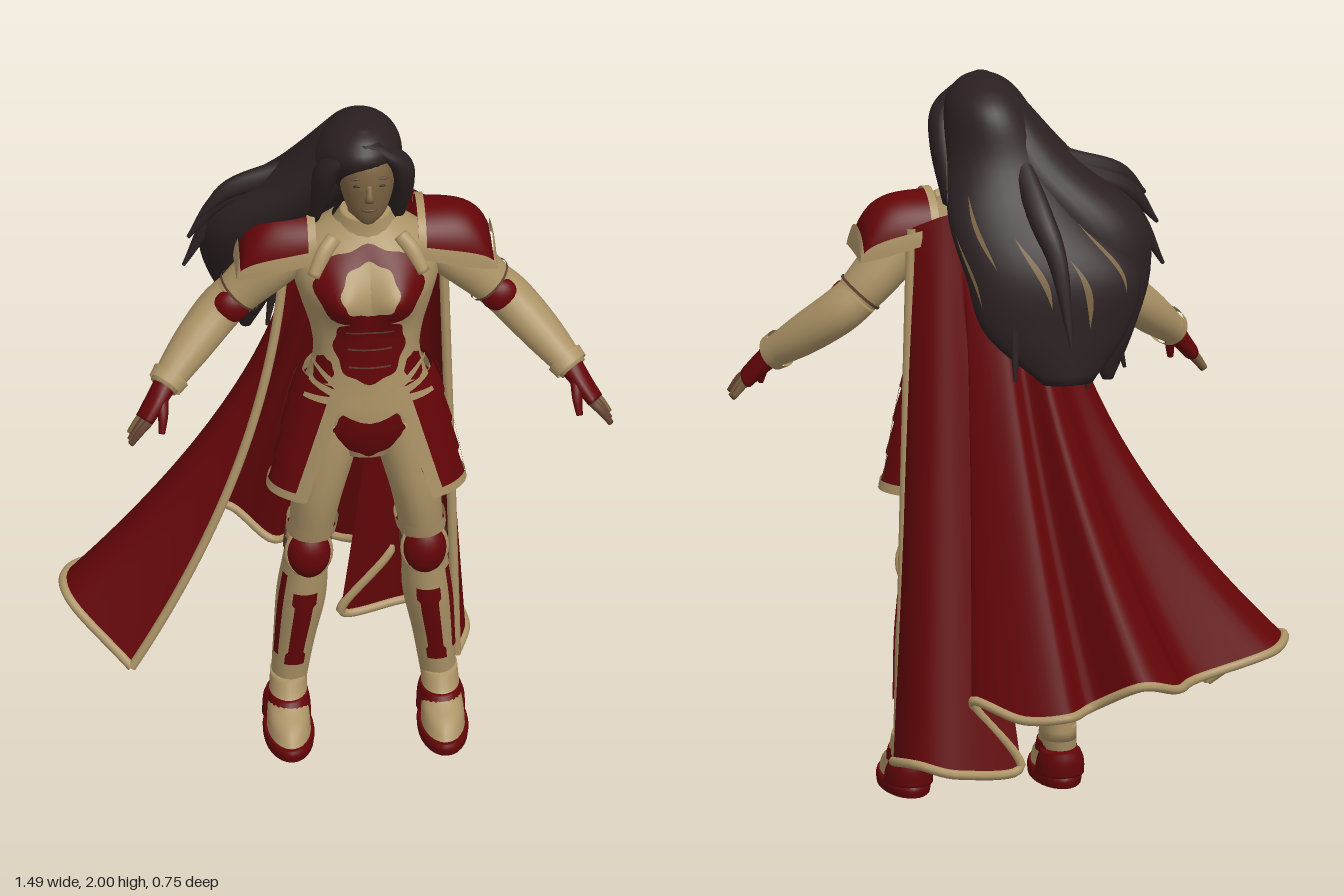
import * as THREE from 'three';
import { mergeVertices } from 'three/addons/utils/BufferGeometryUtils.js';

const V = (x, y, z) => new THREE.Vector3(x, y, z);
const mat = (name, color) => {
  const m = new THREE.MeshStandardMaterial({ color, side: THREE.DoubleSide });
  m.name = name;
  return m;
};
const lerp = THREE.MathUtils.lerp, clamp = THREE.MathUtils.clamp, rad = THREE.MathUtils.degToRad;
const CX = 0.068; // middle line of the body

export function createModel() {
  const root = new THREE.Group();
  root.name = 'capedWarrior';
  const red = mat('deepRed', 0x640508), cream = mat('cream', 0xad9467), skin = mat('skin', 0x7b6342);
  const dark = mat('darkHair', 0x2b2021), brown = mat('brownCloth', 0x61412f);

  const add = (geo, m, name) => {
    const mesh = new THREE.Mesh(geo, m);
    mesh.name = name;
    root.add(mesh);
    return mesh;
  };
  // smooth surface from a rule (u, v) -> point
  const surf = (fn, nu, nv, m, name) => {
    const pos = [], idx = [];
    for (let j = 0; j <= nv; j++) for (let i = 0; i <= nu; i++) pos.push(...fn(i / nu, j / nv).toArray());
    for (let j = 0; j < nv; j++) for (let i = 0; i < nu; i++) {
      const a = j * (nu + 1) + i, b = a + nu + 1;
      idx.push(a, b, a + 1, b, b + 1, a + 1);
    }
    let g = new THREE.BufferGeometry();
    g.setAttribute('position', new THREE.Float32BufferAttribute(pos, 3));
    g.setIndex(idx);
    g = mergeVertices(g, 1e-4);
    g.computeVertexNormals();
    return add(g, m, name);
  };
  // rings [x, y, z, r1, r2] along a path; flat keeps every ring horizontal
  const limbFn = (pts, flat) => {
    const c = new THREE.CatmullRomCurve3(pts.map(p => V(p[0], p[1], p[2])), false, 'catmullrom');
    const r = new THREE.CatmullRomCurve3(pts.map(p => V(p[3], p[4] ?? p[3], 0)), false, 'catmullrom');
    return (u, v, off = 0) => {
      const q = r.getPoint(v), a = u * Math.PI * 2;
      let side = V(1, 0, 0), fwd = V(0, 0, 1);
      if (!flat) {
        const t = c.getTangent(v);
        side = t.clone().cross(fwd).normalize();
        fwd = side.clone().cross(t);
      }
      return c.getPoint(v).addScaledVector(side, Math.cos(a) * Math.max(0, q.x + off))
        .addScaledVector(fwd, Math.sin(a) * Math.max(0, q.y + off));
    };
  };
  const limb = (pts, m, name, flat = false, nu = 20) => {
    const fn = limbFn(pts, flat), n = pts.length * 5;
    surf((u, v) => fn(u, clamp((v * n - 1) / (n - 2), 0, 1), v === 0 || v === 1 ? -10 : 0), nu, n, m, name);
    return fn;
  };
  const ball = (x, y, z, sx, sy, sz, m, name) => {
    const b = add(new THREE.SphereGeometry(1, 20, 14), m, name);
    b.position.set(x, y, z);
    b.scale.set(sx, sy, sz);
  };

  // torso with a shaped breastplate
  const rings = [[0.18, 0.1, 0.1], [0.185, 0.165, 0.125], [0.19, 0.185, 0.13], [0.2, 0.16, 0.118], [0.205, 0.145, 0.112],
    [0.2, 0.155, 0.12], [0.185, 0.18, 0.14], [0.175, 0.2, 0.14], [0.16, 0.19, 0.12], [0.155, 0.09, 0.075]];
  const torsoFn = limbFn(rings.map(([z, rx, rz], i) => [CX, 0.96 + i * 0.08, z, rx, rz]), true);
  const torso = (a, y, off = 0) => {
    const p = torsoFn(a / (Math.PI * 2), clamp((y - 0.96) / 0.72, 0, 1), off), s = Math.max(0, Math.sin(a));
    p.z += s * 0.06 * Math.exp(-(((y - 1.51) / 0.075) ** 2)) * Math.exp(-(((Math.abs(p.x - CX) - 0.085) / 0.07) ** 2));
    return p;
  };
  surf((u, v) => torso(u * Math.PI * 2, 0.96 + v * 0.72), 48, 40, cream, 'torso');
  const blob = (a0, y0, ra, ry, off, m, name) => surf((u, v) => {
    const t = u * Math.PI * 2, k = v * (1 + 0.05 * Math.cos(8 * t));
    return torso(rad(a0 + ra * k * Math.cos(t)), y0 + ry * k * Math.sin(t), off);
  }, 48, 12, m, name);
  blob(90, 1.53, 46, 0.11, 0.005, red, 'chestPlate');
  blob(90, 1.535, 22, 0.068, 0.009, cream, 'chestMedallion');
  blob(90, 1.34, 38, 0.11, 0.005, red, 'abdomenPlate');
  blob(90, 1.06, 32, 0.085, 0.006, red, 'pelvisPlate');
  for (const a of [35, 145]) blob(a, 1.25, 16, 0.045, 0.006, red, 'waistPlate');
  for (const y of [1.28, 1.34, 1.4]) surf((u, v) => torso(rad(68 + 44 * u), y + v * 0.006, 0.009), 14, 1, brown, 'abdomenSeam');
  surf((u, v) => {
    const a = u * Math.PI * 2, dip = 0.045 * Math.max(0, Math.sin(a)) ** 12;
    return torso(a, 1.15 + v * 0.06 - dip, 0.014);
  }, 48, 3, cream, 'belt');
  // fan of straps from the buckle up over the hips
  for (const s of [-1, 1]) for (const rise of [0.005, 0.06, 0.12])
    surf((u, v) => torso(rad(90 - s * lerp(8, 62, u)), 1.16 + rise * u + v * lerp(0.035, 0.014, u), 0.016 + 0.014 * u), 14, 2, cream, 'hipStrap');

  // collar, neck, head
  limb([[CX, 1.61, 0.155, 0.12, 0.1], [CX, 1.66, 0.16, 0.09, 0.085], [CX, 1.71, 0.175, 0.068, 0.068]], cream, 'collar', true);
  limb([[CX, 1.66, 0.165, 0.052], [CX, 1.72, 0.18, 0.05], [CX, 1.8, 0.19, 0.052]], skin, 'neck', true);
  limb([[CX, 1.722, 0.242, 0.026, 0.038], [CX, 1.75, 0.228, 0.053, 0.065], [CX, 1.8, 0.212, 0.071, 0.092],
    [CX, 1.86, 0.2, 0.08, 0.11], [CX, 1.92, 0.195, 0.074, 0.103], [CX, 1.97, 0.2, 0.045, 0.06]], skin, 'head', true, 28);
  limb([[CX, 1.865, 0.304, 0.008, 0.006], [CX, 1.83, 0.314, 0.011, 0.012], [CX, 1.812, 0.306, 0.014, 0.01]], skin, 'nose', true);
  ball(CX, 1.778, 0.294, 0.022, 0.005, 0.008, brown, 'mouth');
  for (const s of [-1, 1]) {
    ball(CX + s * 0.032, 1.86, 0.299, 0.012, 0.003, 0.005, dark, 'eye');
    ball(CX + s * 0.034, 1.883, 0.297, 0.02, 0.004, 0.005, brown, 'eyebrow');
  }

  // hair: main fall with lighter streaks, windswept side mass, face locks and loose strands
  const fall = limb([[0.055, 2.0, 0.19, 0.025, 0.04], [0.055, 1.975, 0.175, 0.075, 0.1], [0.05, 1.92, 0.16, 0.114, 0.144], [0.025, 1.8, 0.095, 0.15, 0.118],
    [-0.01, 1.65, 0.0, 0.2, 0.1], [-0.085, 1.5, -0.07, 0.24, 0.095], [-0.09, 1.35, -0.105, 0.2, 0.07], [-0.11, 1.21, -0.145, 0.07, 0.03]],
  dark, 'hairFall', true, 32);
  for (const [u0, v0] of [[0.63, 0.58], [0.71, 0.66], [0.79, 0.6], [0.88, 0.5], [0.95, 0.6], [0.99, 0.36]])
    surf((u, v) => fall(u0 + (u - 0.5) * 0.014 * Math.sin(Math.PI * v) - v * 0.02, v0 + v * 0.18, 0.004), 2, 12, skin, 'hairStreak');
  limb([[0.02, 1.95, 0.15, 0.06, 0.09], [-0.06, 1.79, 0.1, 0.12, 0.12], [-0.2, 1.63, 0.04, 0.155, 0.125],
    [-0.25, 1.48, 0.0, 0.12, 0.1], [-0.24, 1.32, -0.04, 0.075, 0.065], [-0.24, 1.19, -0.06, 0.015, 0.015]], dark, 'hairSweep', true, 28);
  for (const [x1, x2, x3] of [[0.15, 0.165, 0.15], [-0.025, -0.055, -0.08]])
    limb([[CX, 1.975, 0.25, 0.03], [x1, 1.9, 0.235, 0.035, 0.045], [x2, 1.8, 0.19, 0.035, 0.055], [x3, 1.66, 0.12, 0.03, 0.05]], dark, 'faceLock', true);
  const tips = [[-0.42, 1.47, 0.06], [-0.41, 1.58, 0.09], [-0.38, 1.66, 0.11],
    [-0.3, 1.2, 0.0], [-0.18, 1.17, -0.08], [-0.1, 1.34, -0.25], [0.04, 1.23, -0.17]];
  for (const [x, y, z] of tips)
    limb([[0.0, 1.86, 0.08, 0.02], [0.4 * x, lerp(1.82, y, 0.28), lerp(0.05, z, 0.5), 0.035, 0.03],
      [0.78 * x, lerp(1.82, y, 0.55), lerp(0.03, z, 0.75), 0.026, 0.024], [x, y, z, 0.005]], dark, 'hairStrand', false, 10);

  // cape hung between a shoulder line and a folded hem
  const top = new THREE.CatmullRomCurve3([V(-0.14, 1.63, 0.05), V(-0.05, 1.66, 0.02), V(CX, 1.67, 0.01), V(0.19, 1.66, 0.01), V(0.285, 1.62, 0.04)]);
  const hem = new THREE.CatmullRomCurve3([[-0.57, 0.24, 0.175], [-0.735, 0.4, 0.05], [-0.69, 0.4, -0.11], [-0.46, 0.36, -0.19],
    [-0.38, 0.37, -0.31], [-0.27, 0.4, -0.365], [-0.15, 0.33, -0.29], [-0.07, 0.32, -0.35], [0.05, 0.31, -0.31], [0.17, 0.34, -0.21],
    [0.03, 0.145, -0.2], [0.21, 0.145, -0.245], [0.32, 0.17, -0.21], [0.362, 0.15, -0.1], [0.33, 0.12, -0.005]].map(p => V(...p)), false, 'catmullrom');
  const cape = (u, t) => {
    const a = top.getPoint(u), b = hem.getPoint(u);
    return V(lerp(a.x, b.x, t ** lerp(2, 0.9, u)), lerp(a.y, b.y, t), lerp(a.z, b.z, t ** 0.95));
  };
  surf(cape, 112, 36, red, 'cape');
  const edge = (fn, n, name) => {
    const c = new THREE.CatmullRomCurve3(Array.from({ length: n + 1 }, (_, i) => fn(i / n)));
    add(new THREE.TubeGeometry(c, n * 2, 0.013, 8), cream, name);
  };
  edge(t => cape(0, t), 24, 'capeEdge');
  edge(t => cape(1, t), 24, 'capeEdge');
  edge(u => cape(u, 1), 70, 'capeHem');

  for (const s of [-1, 1]) {
    const X = o => CX + s * o;
    const outer = s > 0 ? 0 : 0.5; // ring parameter of the outward side

    // leg: thigh, boot, knee guard and stripes
    const thigh = limb([[X(0.09), 1.08, 0.19, 0.085, 0.11], [X(0.11), 0.95, 0.195, 0.082, 0.105], [X(0.135), 0.8, 0.195, 0.068, 0.092],
      [X(0.155), 0.64, 0.175, 0.058, 0.07]], cream, 'thigh', true);
    surf((u, v) => thigh(outer + (u - 0.5) * (0.42 - 0.2 * v), 0.14 + v * 0.26, 0.004), 18, 6, brown, 'thighCloth');
    const shin = limb([[X(0.155), 0.67, 0.175, 0.058, 0.07], [X(0.162), 0.56, 0.15, 0.062, 0.08], [X(0.172), 0.43, 0.125, 0.068, 0.092],
      [X(0.19), 0.28, 0.11, 0.057, 0.075], [X(0.205), 0.13, 0.1, 0.048, 0.058]], cream, 'boot', true);
    surf((u, v) => shin(0.25 + (u - 0.5) * (v < 0.2 || v > 0.85 ? 0.15 : 0.11), 0.4 + v * 0.44, 0.005), 8, 24, red, 'shinStripe');
    surf((u, v) => shin((s > 0 ? 0.09 : 0.41) + (u - 0.5) * 0.05, 0.3 + v * 0.5, 0.005), 6, 16, red, 'sideStripe');
    surf((u, v) => shin(u, 0.04 + v * 0.1, 0.006), 24, 3, brown, 'kneeStrap');
    ball(X(0.158), 0.62, 0.215, 0.06, 0.078, 0.055, red, 'kneeGuard');
    surf((u, v) => thigh(u, 0.84 + v * 0.08, 0.008), 24, 2, cream, 'kneeBand');
    const rim = add(new THREE.TorusGeometry(0.06, 0.007, 8, 24), cream, 'kneeRim');
    rim.position.set(X(0.158), 0.62, 0.215);
    rim.scale.y = 1.3;

    // shoe
    limb([[X(0.21), 0.0, 0.175, 0.068, 0.143], [X(0.21), 0.02, 0.175, 0.07, 0.146], [X(0.21), 0.035, 0.175, 0.066, 0.14]], red, 'sole', true, 28);
    limb([[X(0.21), 0.03, 0.185, 0.06, 0.125], [X(0.21), 0.07, 0.17, 0.057, 0.105], [X(0.208), 0.11, 0.13, 0.052, 0.075],
      [X(0.205), 0.17, 0.105, 0.05, 0.062]], cream, 'shoeUpper', true, 24);
    limb([[X(0.21), 0.03, 0.11, 0.067, 0.08], [X(0.21), 0.07, 0.096, 0.064, 0.068], [X(0.208), 0.1, 0.088, 0.054, 0.055]], red, 'heelCup', true);
    limb([[X(0.208), 0.085, 0.145, 0.056, 0.082], [X(0.207), 0.12, 0.13, 0.053, 0.07]], red, 'ankleBand', true);

    // flared hip guard of stacked plates with light rims
    const guard = (k, v, off = 0) => {
      const a = rad(lerp(-62, lerp(68, 50, v), k));
      return V(X((lerp(0.178, 0.262, v ** 0.8) + off) * Math.cos(a)), lerp(1.215, 0.84, v),
        0.197 + (lerp(0.132, 0.135, v) + off) * Math.sin(a));
    };
    for (let i = 0; i < 4; i++)
      surf((u, v) => guard(u, (i + v) / 4, 0.008 * v), 24, 4, red, 'hipPlate');
    surf((u, v) => guard(u, 0.94 + v * 0.07, 0.011), 24, 2, cream, 'hipGuardHem');
    surf((u, v) => guard(0.92 + u * 0.09, v, 0.011), 3, 16, cream, 'hipGuardEdge');
    surf((u, v) => guard(0.48 + u * 0.012, v * 0.93, 0.011), 2, 16, brown, 'hipGuardSeam');

    // arm
    const upper = limb([[X(0.17), 1.6, 0.14, 0.075, 0.085], [X(0.24), 1.53, 0.135, 0.072, 0.085], [X(0.31), 1.455, 0.125, 0.066, 0.075],
      [X(0.37), 1.39, 0.125, 0.058, 0.062]], cream, 'upperArm');
    const fore = limb([[X(0.34), 1.42, 0.12, 0.06, 0.064], [X(0.4), 1.365, 0.135, 0.062, 0.068], [X(0.48), 1.29, 0.195, 0.056, 0.06],
      [X(0.56), 1.215, 0.27, 0.04, 0.042]], cream, 'forearm');
    surf((u, v) => upper(u, 0.82 + v * 0.03, 0.005), 20, 2, brown, 'armStrap');
    ball(X(0.365), 1.4, 0.165, 0.052, 0.05, 0.038, red, 'elbowGuard');
    surf((u, v) => fore(u, 0.9 + v * 0.08, 0.008), 20, 2, cream, 'cuff');

    // hand
    limb([[X(0.55), 1.225, 0.262, 0.034], [X(0.585), 1.18, 0.292, 0.026, 0.042], [X(0.615), 1.14, 0.315, 0.022, 0.042]], red, 'palm');
    for (let i = 0; i < 4; i++) {
      const z = 0.283 + i * 0.02, l = 0.01 * Math.sin(i * 1.05);
      limb([[X(0.605), 1.15, z, 0.013], [X(0.63), 1.125 - l, z + 0.01, 0.012], [X(0.655), 1.09 - l, z + 0.016, 0.008]],
        i % 2 ? brown : skin, 'finger', false, 8);
    }
    limb([[X(0.565), 1.2, 0.3, 0.017], [X(0.565), 1.16, 0.33, 0.014], [X(0.57), 1.115, 0.35, 0.009]], red, 'thumb', false, 8);

    // shoulder guard: arched plate, flat on top, rolling down over the arm, with light rims
    const plate = (u, v, off = 0) => {
      const a = u * Math.PI, h = (0.11 + 0.055 * v) * Math.sqrt(Math.max(0, 1 - v ** 4)) + off;
      return V(X(0.14 + 0.21 * v + off * v), 1.585 - 0.06 * v + h * Math.sin(a) ** 0.8, 0.14 + (0.11 * (1 - 0.25 * v ** 3) + off) * Math.cos(a));
    };
    surf(plate, 28, 20, red, 'shoulderGuard');
    for (const u0 of [0, 0.92]) surf((u, v) => plate(u0 + u * 0.08, v, 0.007), 4, 20, cream, 'shoulderRim');
    surf((u, v) => plate(u, 0.95 + v * 0.05, 0.007), 28, 6, cream, 'shoulderRim');
    surf((u, v) => plate(u, v * 0.1, 0.007), 28, 2, cream, 'shoulderRim');
    limb([[X(0.09), 1.65, 0.23, 0.022, 0.02], [X(0.12), 1.62, 0.258, 0.022, 0.018], [X(0.15), 1.56, 0.28, 0.018]], cream, 'shoulderStrap');
  }
  return root;
}
